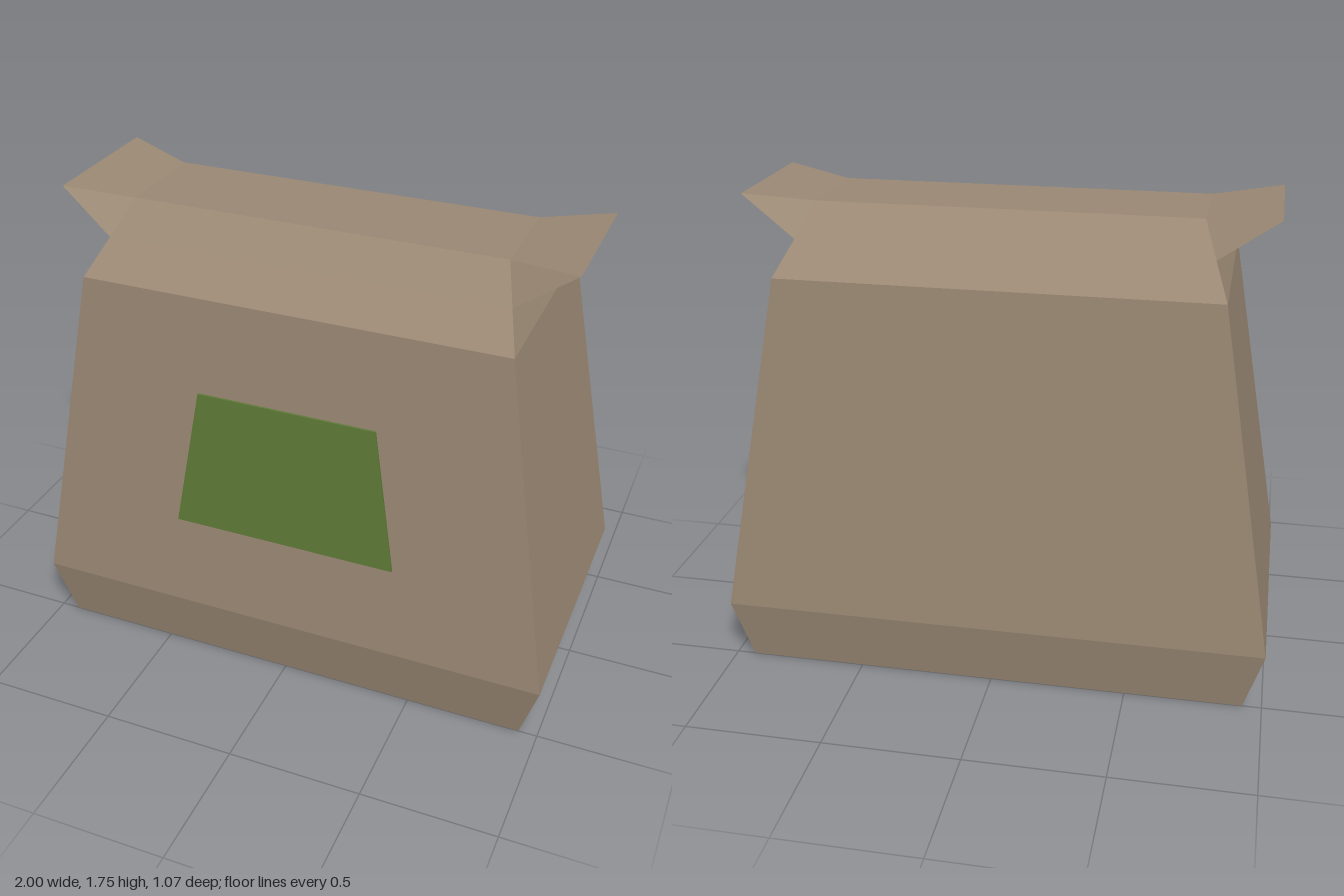
import * as THREE from 'three';

const paper = new THREE.MeshStandardMaterial({ color: 0x9b8974 });
paper.name = 'brown paper';
const green = new THREE.MeshStandardMaterial({ color: 0x5e7a37 });
green.name = 'green label';

// Four corners, counter-clockwise from above, starting front at -x
const ring = (hx, y, hz) =>
  [[-hx, hz], [hx, hz], [hx, -hz], [-hx, -hz]].map(([x, z]) => [x, y, z]);

// Flat-shaded mesh from convex polygons
function faceMesh(name, faces, material) {
  const pos = [];
  for (const f of faces)
    for (let i = 1; i < f.length - 1; i++) pos.push(...f[0], ...f[i], ...f[i + 1]);
  const geo = new THREE.BufferGeometry();
  geo.setAttribute('position', new THREE.Float32BufferAttribute(pos, 3));
  geo.computeVertexNormals();
  const mesh = new THREE.Mesh(geo, material);
  mesh.name = name;
  return mesh;
}

// One wall between two rings
const wall = (a, b, i) => {
  const j = (i + 1) % 4;
  return [a[i], a[j], b[j], b[i]];
};
const walls = (a, b) => [0, 1, 2, 3].map((i) => wall(a, b, i));

export function createModel() {
  const model = new THREE.Group();
  model.name = 'paperBag';

  const base = ring(0.93, 0, 0.5);
  const belly = ring(1, 0.23, 0.533);
  const shoulder = ring(0.787, 1.49, 0.422);
  const notch = ring(0.738, 1.602, 0.302);
  const top = ring(0.69, 1.715, 0.186);
  // Flared tips, slightly twisted about the vertical axis
  const tips = [[-0.948, 1.745, 0.25], [0.945, 1.745, 0.285],
    [0.945, 1.745, -0.255], [-0.948, 1.745, -0.288]];

  // Body with closed bottom
  model.add(faceMesh('bagBody',
    [[...base].reverse(), ...walls(base, belly), ...walls(belly, shoulder)], paper));

  // Folded top: sloping shoulders, front and back panels, flat ridge
  model.add(faceMesh('foldedTop',
    [...walls(shoulder, notch), wall(notch, top, 0), wall(notch, top, 2), top], paper));

  // Flared ear at each end of the fold
  for (const [name, c] of [['leftEar', 1], ['rightEar', 3]]) {
    const d = (c + 1) % 4;
    model.add(faceMesh(name, [
      wall(notch, tips, c), wall(tips, top, c),
      [notch[c], tips[c], top[c]], [notch[d], top[d], tips[d]],
    ], paper));
  }

  // Thin trapezoid label lying on the sloping front
  const inner = [[-0.425, 0.593, 0.5], [0.425, 0.593, 0.5],
    [0.337, 1.13, 0.452], [-0.337, 1.13, 0.452]];
  const outer = inner.map(([x, y, z]) => [x, y, z + 0.0098]);
  model.add(faceMesh('frontLabel', [...walls(inner, outer), outer], green));

  return model;
}
